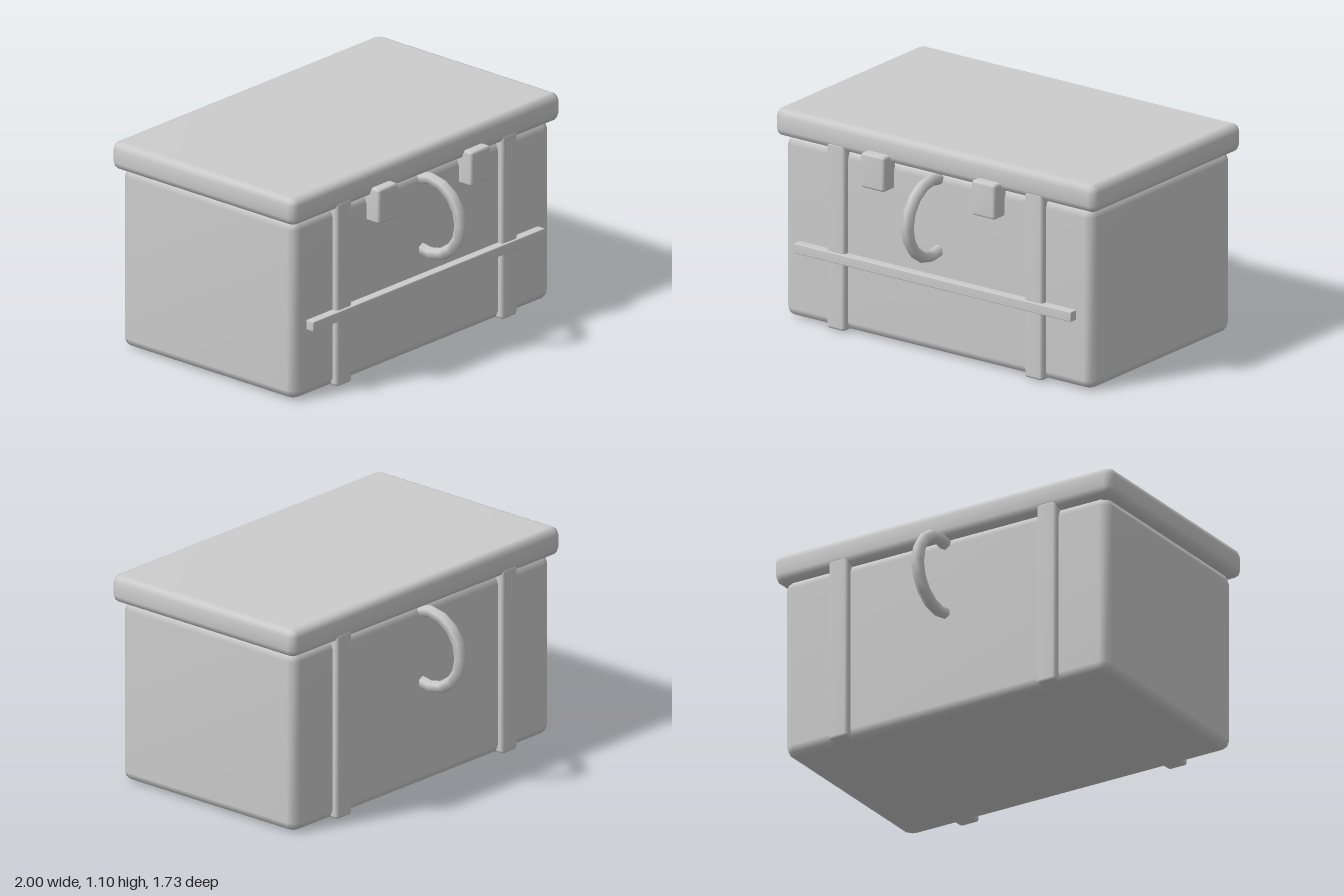
import * as THREE from 'three';
import { mergeVertices } from 'three/addons/utils/BufferGeometryUtils.js';
import { RoundedBoxGeometry } from 'three/addons/geometries/RoundedBoxGeometry.js';

export function createModel() {
  const group = new THREE.Group();
  const grey = new THREE.MeshStandardMaterial({ color: 0xcccccc });
  grey.name = 'plain grey';

  const add = (name, geometry, x = 0, y = 0, z = 0) => {
    const mesh = new THREE.Mesh(geometry, grey);
    mesh.name = name;
    mesh.position.set(x, y, z);
    group.add(mesh);
    return mesh;
  };

  // Bevelled box given by its extents, with softly averaged normals
  const box = (name, [x0, x1], [y0, y1], [z0, z1], bevel) => {
    let g = new RoundedBoxGeometry(x1 - x0, y1 - y0, z1 - z0, 1, bevel);
    g.deleteAttribute('normal');
    g.deleteAttribute('uv');
    g = mergeVertices(g, 1e-4);
    g.computeVertexNormals();
    return add(name, g, (x0 + x1) / 2, (y0 + y1) / 2, (z0 + z1) / 2);
  };

  // Chest and its overhanging lid
  box('body', [-0.96, 0.96], [0, 0.96], [-0.58, 0.58], 0.05);
  box('lid', [-1, 1], [0.95, 1.1], [-0.613, 0.613], 0.04);

  // Upright straps, two on the front and two on the back
  for (const side of [-1, 1]) {
    const x = side * 0.617;
    box('frontStrap', [x - 0.056, x + 0.056], [0.005, 0.99], [0.53, 0.612], 0.016);
    box('backStrap', [x - 0.056, x + 0.056], [0.005, 0.99], [-0.612, -0.53], 0.016);
  }

  // Front latches and the horizontal rail
  for (const x of [-0.347, 0.343]) {
    box('latch', [x - 0.073, x + 0.073], [0.815, 1.0], [0.56, 0.665], 0.014);
  }
  box('rail', [-0.867, 0.863], [0.362, 0.415], [0.57, 0.626], 0.005);

  // Six-sided ring handles, partly sunk into the front and back
  for (const [name, dir] of [['frontHandle', 1], ['backHandle', -1]]) {
    const ring = add(name, new THREE.TorusGeometry(0.2, 0.032, 6, 16), 0, 0.735, dir * 0.633);
    ring.rotation.y = -dir * Math.PI / 2;
  }

  return group;
}
